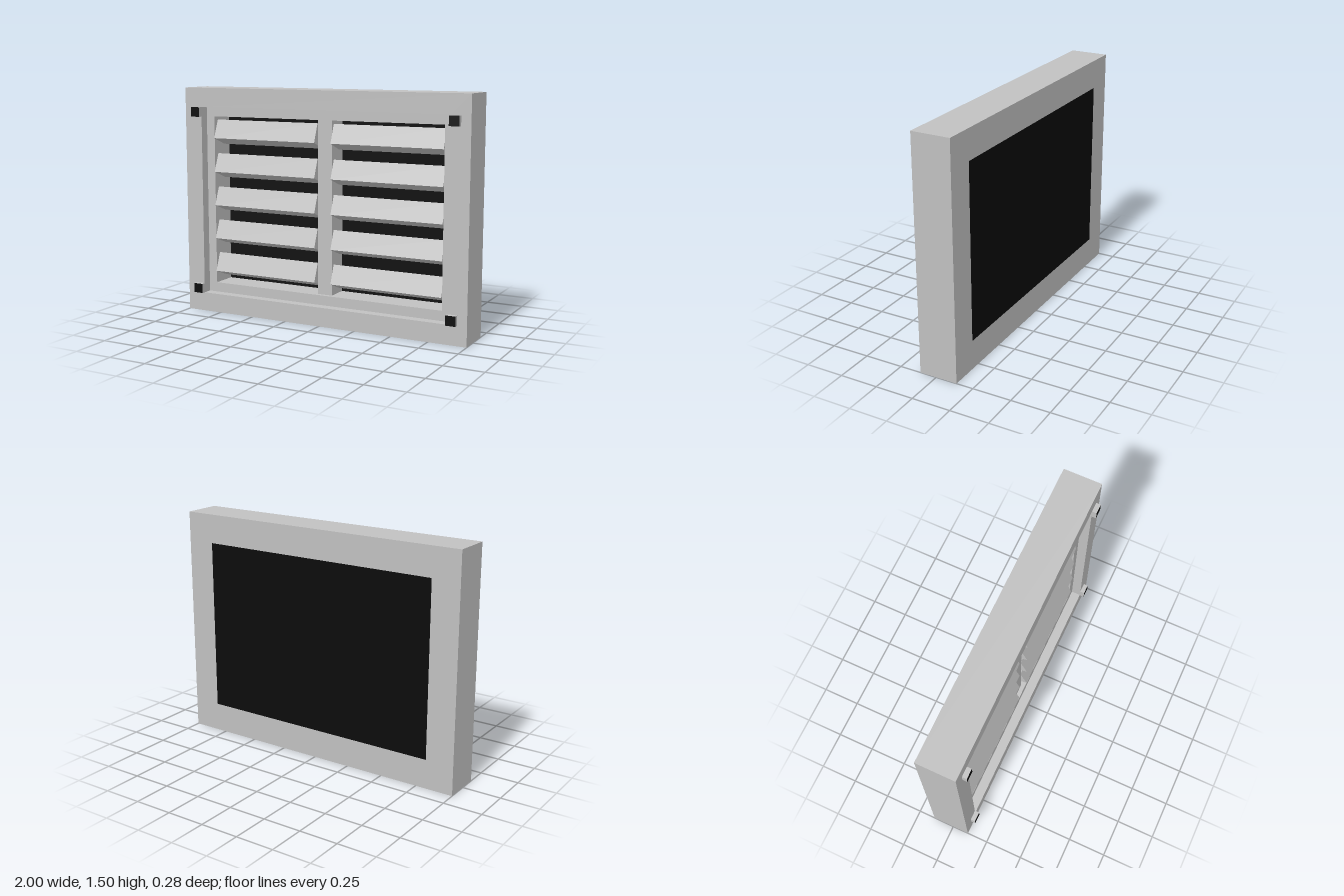
import * as THREE from 'three';

export function createModel() {
  const group = new THREE.Group();
  const grey = new THREE.MeshStandardMaterial({ name: 'paintedGrey', color: 0xc0c0c0 });
  const black = new THREE.MeshStandardMaterial({ name: 'matteBlack', color: 0x0a0a0a });

  const add = (name, geometry, material, x = 0, y = 0, z = 0) => {
    const mesh = new THREE.Mesh(geometry, material);
    mesh.name = name;
    mesh.position.set(x, y, z);
    group.add(mesh);
    return mesh;
  };

  // Rectangular ring extruded from z0 to z1, with its middle at height y
  const ring = (name, w, h, holeW, holeH, y, z0, z1) => {
    const corners = (a, b) => [[-a, -b], [a, -b], [a, b], [-a, b]].map(([px, py]) => new THREE.Vector2(px / 2, py / 2));
    const shape = new THREE.Shape(corners(w, h));
    shape.holes.push(new THREE.Path(corners(holeW, holeH).reverse()));
    add(name, new THREE.ExtrudeGeometry(shape, { depth: z1 - z0, bevelEnabled: false }), grey, 0, y, z0);
  };

  const midY = 0.752, back = -0.14, front = 0.11;

  // Outer frame and the recessed inner frame
  ring('outerFrame', 2, 1.504, 1.75, 1.254, midY, back, front);
  ring('innerFrame', 1.75, 1.254, 1.63, 1.126, midY, back, 0.048);

  // Dark panel closing the back, and the centre post
  add('backPanel', new THREE.BoxGeometry(1.63, 1.126, 0.015), black, 0, midY, back + 0.0075);
  add('centrePost', new THREE.BoxGeometry(0.1, 1.126, 0.15), grey, 0, midY, -0.055);

  // Two columns of tilted slats
  const tilt = THREE.MathUtils.degToRad(-21);
  const slat = new THREE.BoxGeometry(0.755, 0.13, 0.13);
  for (const side of [-1, 1]) {
    for (let i = 0; i < 5; i++) {
      add('slat', slat, grey, side * 0.4355, 0.308 + i * 0.225, -0.026).rotation.x = tilt;
    }
  }

  // Corner lugs with black front faces
  const lug = new THREE.BoxGeometry(0.065, 0.063, 0.03);
  const lugMaterials = [grey, grey, grey, grey, black, grey];
  for (const x of [-0.905, 0.905]) {
    for (const y of [0.158, 1.346]) add('cornerLug', lug, lugMaterials, x, y, front + 0.015);
  }

  return group;
}
